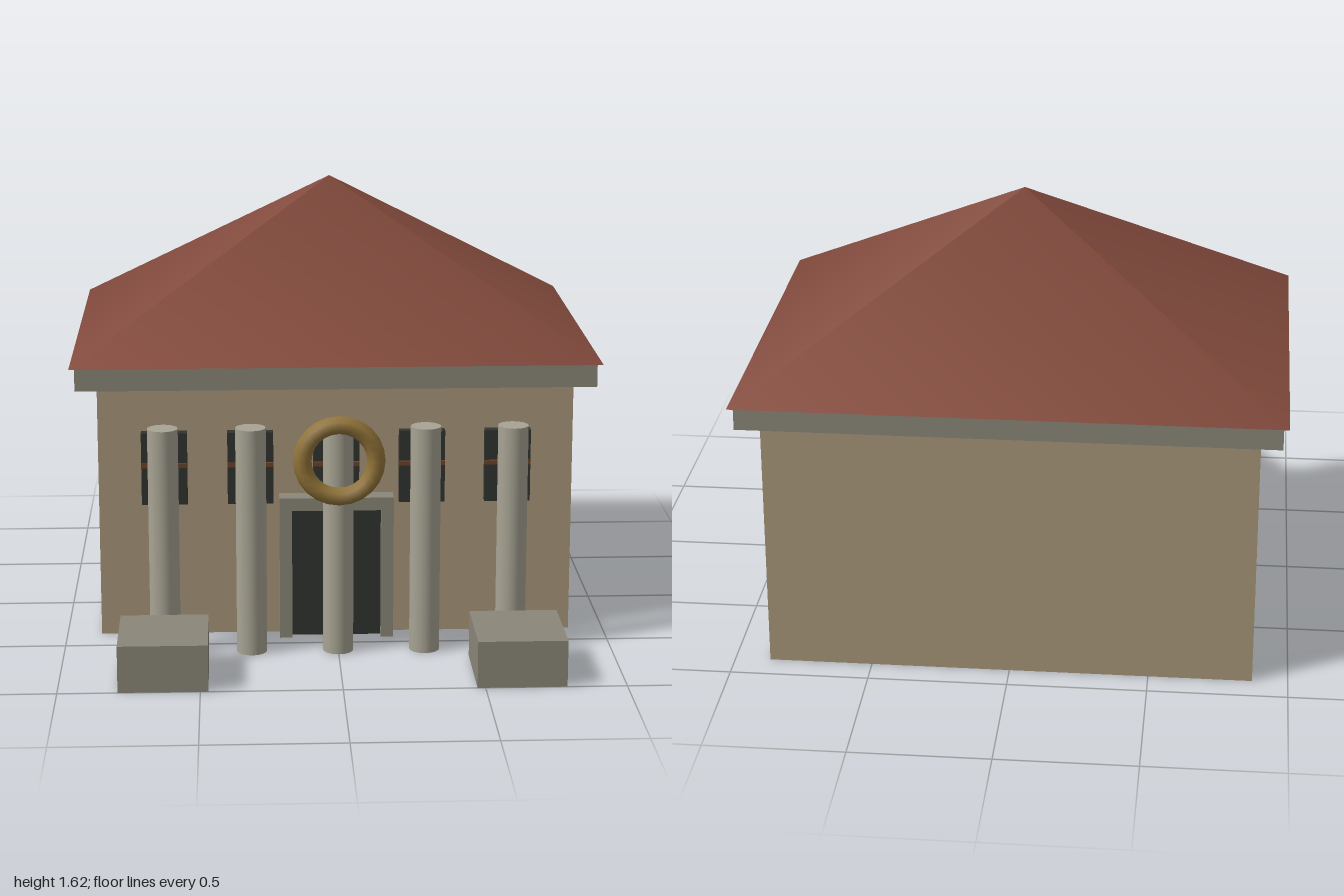
import * as THREE from 'three';

const mat = (color) => new THREE.MeshStandardMaterial({ color });

export function createModel() {
  const model = new THREE.Group();
  const wall = mat(0xa8977a), stone = mat(0x8a8678), pillar = mat(0xa8a494);
  const tile = mat(0x824a3c), dark = mat(0x303430), wood = mat(0x6b4226), gold = mat(0x94763a);

  const add = (name, geometry, material, x, y, z, parent = model) => {
    const mesh = new THREE.Mesh(geometry, material);
    mesh.name = name;
    mesh.position.set(x, y, z);
    parent.add(mesh);
    return mesh;
  };
  // Box given by centre x, width, and its y and z ranges
  const box = (name, material, x, w, y0, y1, z0, z1, parent) =>
    add(name, new THREE.BoxGeometry(w, y1 - y0, z1 - z0), material,
      x, (y0 + y1) / 2, (z0 + z1) / 2, parent);

  // Main building
  box('walls', wall, 0, 1.745, 0, 0.95, -0.897, 0.37);
  box('cornice', stone, 0, 1.895, 0.95, 1.035, -0.977, 0.453);

  // Pyramid roof
  const roof = new THREE.ConeGeometry(Math.SQRT2, 0.587, 4);
  roof.rotateY(Math.PI / 4);
  roof.scale(0.967, 1, 0.734);
  add('roof', roof, tile, 0, 1.035 + 0.587 / 2, -0.264);

  // Doorway
  const doorway = new THREE.Group();
  doorway.name = 'doorway';
  model.add(doorway);
  box('door', dark, 0, 0.33, 0, 0.49, 0.36, 0.41, doorway);
  for (const s of [-1, 1]) box('doorJamb', stone, s * 0.187, 0.046, 0, 0.49, 0.37, 0.442, doorway);
  box('doorLintel', stone, 0, 0.42, 0.49, 0.538, 0.37, 0.446, doorway);

  // Colonnade with a window behind each column
  for (let i = -2; i <= 2; i++) {
    const x = i * 0.315;
    add('column', new THREE.CylinderGeometry(0.055, 0.055, 0.842, 16), pillar, x, 0.421, 0.577);
    const window = new THREE.Group();
    window.name = 'window';
    model.add(window);
    box('windowPane', dark, x, 0.168, 0.51, 0.78, 0.372, 0.411, window);
    box('verticalMullion', wood, x, 0.017, 0.51, 0.78, 0.405, 0.418, window);
    box('horizontalMullion', wood, x, 0.168, 0.652, 0.668, 0.405, 0.421, window);
  }

  // Ring ornament on the middle column
  add('ringOrnament', new THREE.TorusGeometry(0.132, 0.033, 6, 24), gold, 0, 0.738, 0.662);

  // Front pedestals
  for (const s of [-1, 1]) box('pedestal', stone, s * 0.63, 0.317, 0, 0.17, 0.663, 1);

  return model;
}
